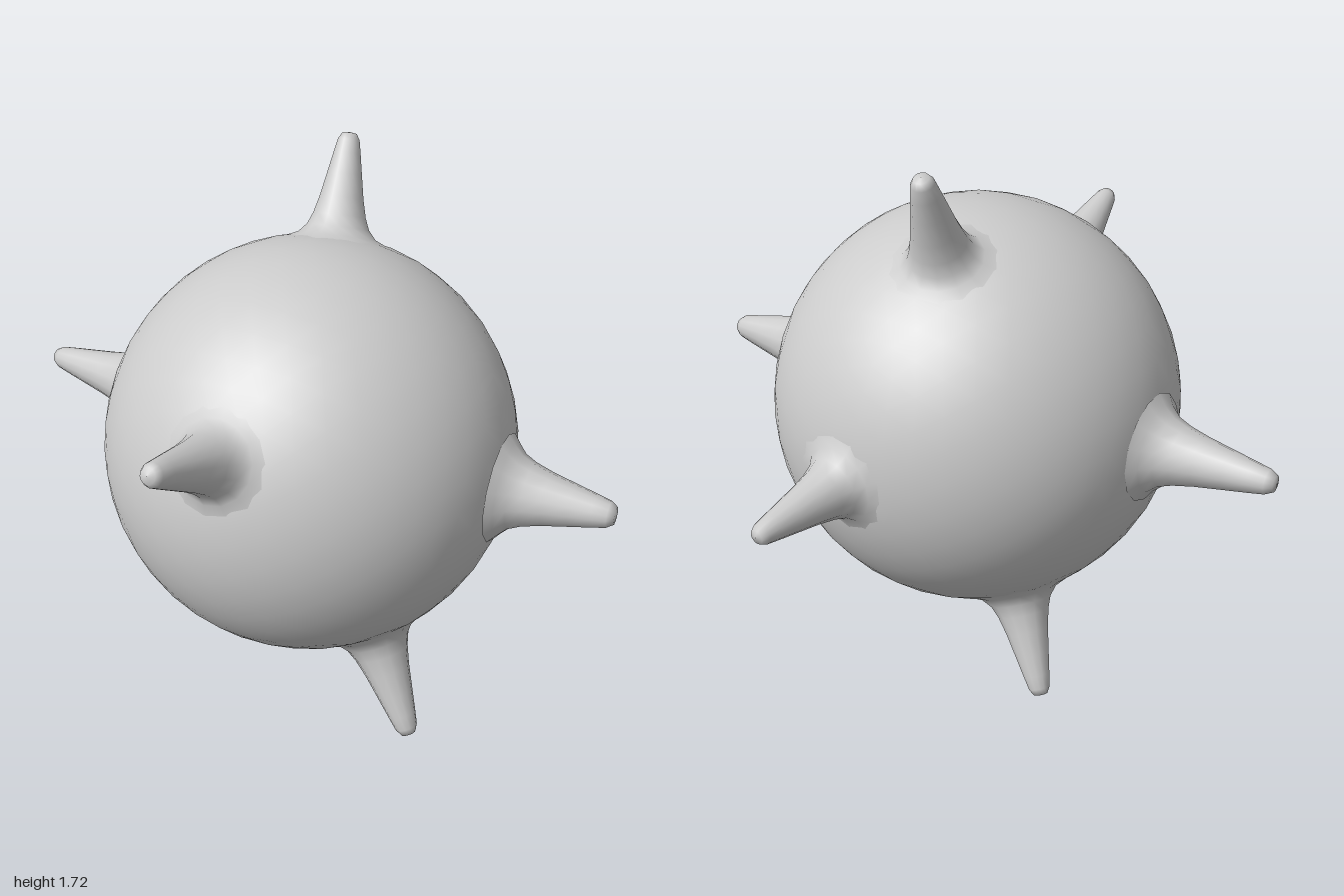
import * as THREE from 'three';

const CENTRE = new THREE.Vector3(0.022, 0.845, 0.035);
const RADIUS = 0.655;

// Flared spike profile: [radius, distance from the body centre], for a tip at 1
const PROFILE = [
  [0.17, 0.628], [0.13, 0.65], [0.104, 0.68], [0.088, 0.72], [0.073, 0.78],
  [0.058, 0.86], [0.045, 0.93], [0.036, 0.975], [0.024, 0.996], [0, 1],
];

// Tip position and thickness of every spike
const SPIKES = [
  ['leftSpike', [1.0, 0.865, 0.0], 1.12],
  ['rightSpike', [-1.0, 0.865, 0.0], 1.05],
  ['topSpike', [-0.065, 1.71, -0.385], 0.95],
  ['frontSpike', [0.022, 1.27, 0.92], 0.95],
  ['backSpike', [0.13, 0.81, -0.93], 0.92],
  ['lowerFrontSpike', [0.515, 0.01, 0.3], 1],
  ['lowerBackSpike', [-0.405, 0.005, -0.262], 0.95],
];

export function createModel() {
  const group = new THREE.Group();
  const material = new THREE.MeshStandardMaterial({ color: 0xcccccc, roughness: 0.8 });

  // Round body, slightly narrower across x
  const body = new THREE.Mesh(new THREE.IcosahedronGeometry(RADIUS, 7), material);
  body.name = 'body';
  body.position.copy(CENTRE);
  body.scale.x = 0.99;
  group.add(body);

  // Spikes point straight out from the body centre and blend into its surface
  const up = new THREE.Vector3(0, 1, 0);
  for (const [name, tip, thickness] of SPIKES) {
    const direction = new THREE.Vector3(...tip).sub(CENTRE);
    const length = direction.length();
    const base = PROFILE[0][1];
    const points = PROFILE.map(([r, d], i) => new THREE.Vector2(
      i === 0 ? r : r * thickness,
      base + (d - base) * (length - base) / (1 - base),
    ));
    const spike = new THREE.Mesh(new THREE.LatheGeometry(points, 14), material);
    spike.name = name;
    spike.position.copy(CENTRE);
    spike.quaternion.setFromUnitVectors(up, direction.normalize());
    group.add(spike);
  }
  return group;
}
